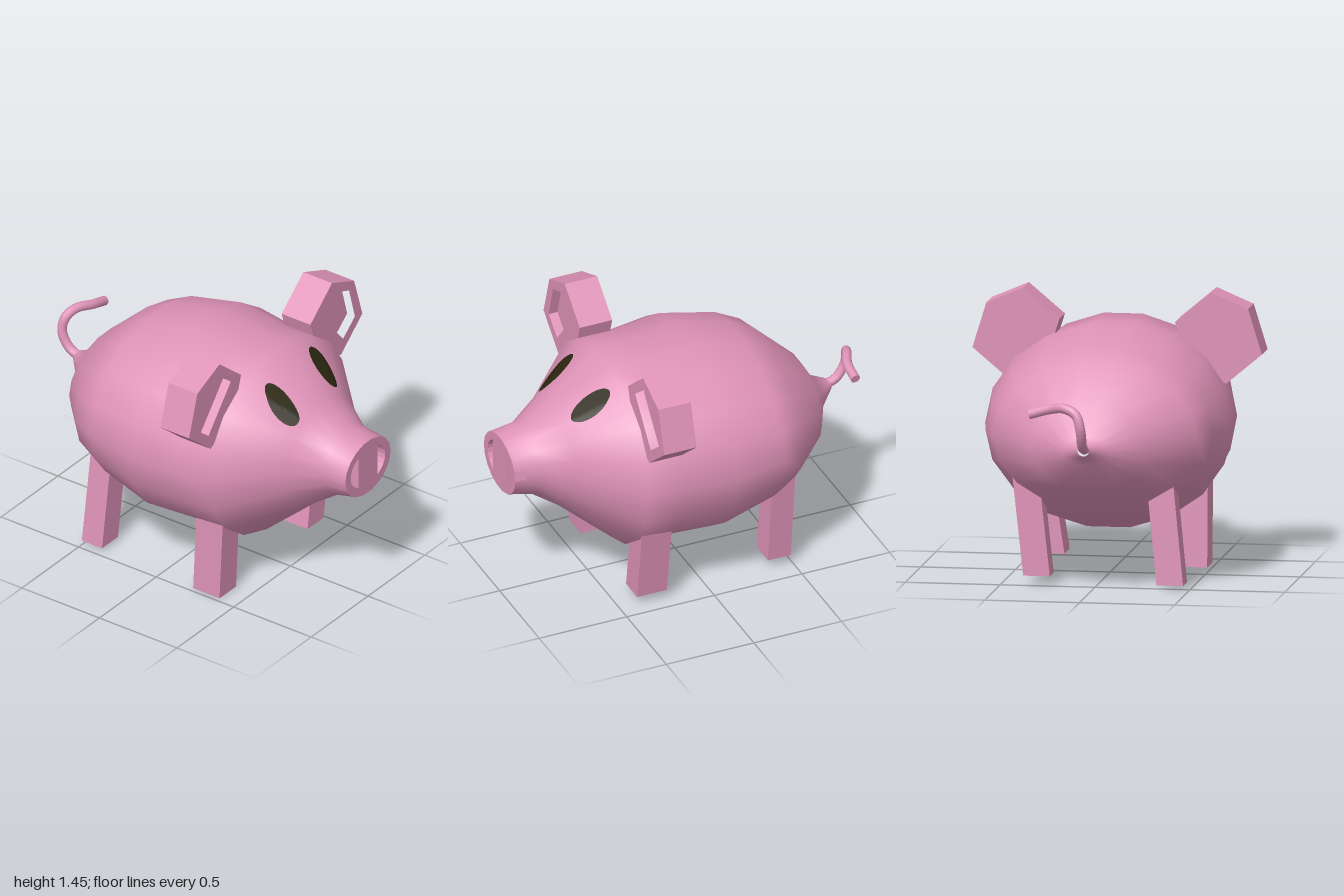
import * as THREE from 'three';

const pink = new THREE.MeshStandardMaterial({ name: 'pink skin', color: 0xde92b7 });
const dark = new THREE.MeshStandardMaterial({ name: 'dark eye', color: 0x2a2610 });

const SIDES = 18;
// Body stations from snout to tail root: z, half width, top, bottom
const STATIONS = [
  [1, 0.2, 0.95, 0.635], [0.86, 0.2, 0.985, 0.595], [0.7, 0.31, 1.085, 0.485],
  [0.42, 0.6, 1.305, 0.24], [0.22, 0.615, 1.295, 0.245], [-0.06, 0.65, 1.32, 0.24],
  [-0.36, 0.6, 1.25, 0.335], [-0.49, 0.54, 1.185, 0.4], [-0.7, 0.31, 0.99, 0.53],
  [-0.79, 0.13, 0.835, 0.685], [-0.88, 0.03, 0.81, 0.75],
];

function mesh(name, geometry, material = pink) {
  const m = new THREE.Mesh(geometry, material);
  m.name = name;
  return m;
}

// Elliptical rings joined along z
function bodyGeometry() {
  const pos = [], idx = [];
  STATIONS.forEach(([z, w, top, bottom], i) => {
    for (let j = 0; j < SIDES; j++) {
      const a = (j / SIDES) * Math.PI * 2;
      pos.push(w * Math.cos(a), (top + bottom) / 2 + ((top - bottom) / 2) * Math.sin(a), z);
      if (i === STATIONS.length - 1) continue;
      const p = i * SIDES + j, q = i * SIDES + ((j + 1) % SIDES);
      idx.push(p, p + SIDES, q, q, p + SIDES, q + SIDES);
    }
  });
  const g = new THREE.BufferGeometry();
  g.setAttribute('position', new THREE.Float32BufferAttribute(pos, 3));
  g.setIndex(idx);
  g.computeVertexNormals();
  return g;
}

const shapeOf = (pts, s = 1) => new THREE.Shape(pts.map(([x, y]) => new THREE.Vector2(x * s, y)));
function slab(shape, z, depth) {
  return new THREE.ExtrudeGeometry(shape, { depth, bevelEnabled: false }).translate(0, 0, z);
}

// Snout disc with two D-shaped nostril recesses
function makeSnout() {
  const g = new THREE.Group();
  g.name = 'snout';
  const ring = (rx, ry, n) => Array.from({ length: n }, (_, i) => {
    const a = (i / n) * Math.PI * 2;
    return [rx * Math.cos(a), 0.7925 + ry * Math.sin(a)];
  });
  const disc = shapeOf(ring(0.2, 0.1575, SIDES));
  const nostril = Array.from({ length: 9 }, (_, i) => {
    const a = -0.98 + (i / 8) * 1.96;
    return [0.152 * Math.cos(a), 0.795 + 0.11 * Math.sin(a)];
  });
  for (const s of [1, -1]) disc.holes.push(shapeOf(nostril, s));
  g.add(mesh('snoutDisc', slab(disc, 0.94, 0.06)));
  g.add(mesh('nostrilFloor', slab(shapeOf(ring(0.18, 0.14, SIDES)), 0.92, 0.02)));
  return g;
}

// Thick five-cornered ear with a recessed front
function makeEar(s) {
  const g = new THREE.Group();
  g.name = s > 0 ? 'leftEar' : 'rightEar';
  const outer = [[0.305, 1.29], [0.495, 1.45], [0.69, 1.367], [0.763, 1.13], [0.575, 0.972], [0.38, 1.05]];
  const inner = [[0.395, 1.295], [0.51, 1.385], [0.645, 1.33], [0.697, 1.145], [0.592, 1.06]];
  const rim = shapeOf(outer, s);
  rim.holes.push(shapeOf(inner, s));
  g.add(mesh('earRim', slab(rim, 0.22, 0.185)));
  g.add(mesh('earInside', slab(shapeOf(inner, s), 0.22, 0.135)));
  return g;
}

// Square leg, sheared from its foot to its top
function makeLeg(name, foot, top, width, depth) {
  const g = new THREE.BoxGeometry(width, 1, depth).translate(0, 0.5, 0);
  const p = g.attributes.position;
  for (let i = 0; i < p.count; i++) {
    const t = p.getY(i);
    p.setXYZ(i,
      p.getX(i) + THREE.MathUtils.lerp(foot[0], top[0], t),
      THREE.MathUtils.lerp(foot[1], top[1], t),
      p.getZ(i) + THREE.MathUtils.lerp(foot[2], top[2], t));
  }
  g.computeVertexNormals();
  return mesh(name, g);
}

// Thin oval laid over the face
function makeEye(name, body, cx, cy, rx, ry, tilt) {
  const g = new THREE.RingGeometry(0, 1, 28, 5).scale(rx, ry, 1).rotateZ(tilt).translate(cx, cy, 0);
  const p = g.attributes.position;
  const ray = new THREE.Raycaster();
  for (let i = 0; i < p.count; i++) {
    ray.set(new THREE.Vector3(p.getX(i), p.getY(i), 2), new THREE.Vector3(0, 0, -1));
    const hit = ray.intersectObject(body)[0];
    p.setZ(i, (hit ? hit.point.z : 0.6) + 0.008);
  }
  g.computeVertexNormals();
  return mesh(name, g, dark);
}

// Curled tail with a capped tip
function makeTail() {
  const g = new THREE.Group();
  g.name = 'tail';
  const curve = new THREE.CatmullRomCurve3([
    [0, 0.78, -0.84], [0, 0.81, -0.92], [0, 0.9, -0.973], [0.025, 0.98, -0.965],
    [0.09, 1.01, -0.94], [0.17, 1.0, -0.908], [0.28, 0.97, -0.905],
  ].map((p) => new THREE.Vector3(...p)));
  g.add(mesh('tailCurl', new THREE.TubeGeometry(curve, 24, 0.026, 10)));
  const tip = mesh('tailTip', new THREE.CircleGeometry(0.026, 10));
  tip.position.copy(curve.getPoint(1));
  tip.quaternion.setFromUnitVectors(new THREE.Vector3(0, 0, 1), curve.getTangent(1));
  g.add(tip);
  return g;
}

export function createModel() {
  const pig = new THREE.Group();
  pig.name = 'pig';
  const body = mesh('body', bodyGeometry());
  pig.add(body, makeSnout(), makeEar(1), makeEar(-1), makeTail());
  pig.add(
    makeEye('rightEye', body, -0.203, 1.122, 0.056, 0.093, -0.2),
    makeEye('leftEye', body, 0.196, 1.148, 0.063, 0.08, -0.2),
    makeLeg('frontRightLeg', [-0.402, 0, 0.305], [-0.402, 0.55, 0.33], 0.145, 0.17),
    makeLeg('frontLeftLeg', [0.35, 0.05, 0.32], [0.425, 0.55, 0.32], 0.14, 0.17),
    makeLeg('backRightLeg', [-0.395, 0.02, -0.44], [-0.335, 0.6, -0.42], 0.14, 0.13),
    makeLeg('backLeftLeg', [0.31, 0.05, -0.425], [0.37, 0.6, -0.425], 0.14, 0.13),
  );
  return pig;
}
